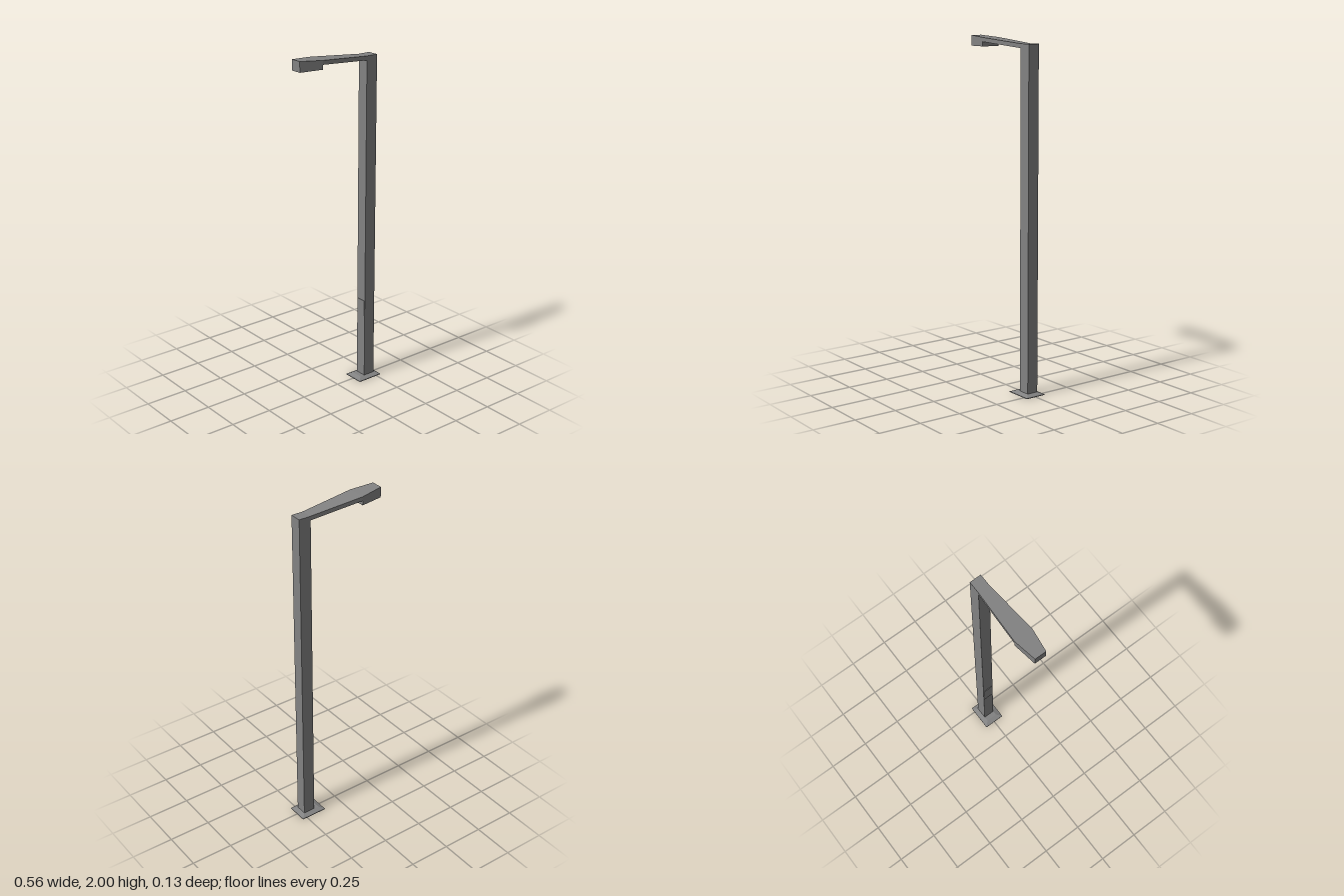
import * as THREE from 'three';

const material = new THREE.MeshStandardMaterial({ color: 0x828282, flatShading: true });

function addMesh(group, name, geometry) {
  const mesh = new THREE.Mesh(geometry, material);
  mesh.name = name;
  group.add(mesh);
}

// Box given by its lower and upper corners
function boxBetween([x0, y0, z0], [x1, y1, z1]) {
  return new THREE.BoxGeometry(x1 - x0, y1 - y0, z1 - z0)
    .translate((x0 + x1) / 2, (y0 + y1) / 2, (z0 + z1) / 2);
}

// Closed solid through rectangular sections [x, bottom, top, halfWidth] along +x
function loftAlongX(sections) {
  const positions = [];
  const rings = sections.map(([x, b, t, w]) => [[x, b, w], [x, b, -w], [x, t, -w], [x, t, w]]);
  const quad = (a, b, c, d) => [a, b, c, a, c, d].forEach((p) => positions.push(...p));
  for (let i = 0; i < rings.length - 1; i++) {
    const p = rings[i], q = rings[i + 1];
    for (let k = 0; k < 4; k++) {
      const n = (k + 1) % 4;
      quad(p[k], p[n], q[n], q[k]);
    }
  }
  const first = rings[0], last = rings[rings.length - 1];
  quad(first[3], first[2], first[1], first[0]);
  quad(last[0], last[1], last[2], last[3]);
  const geometry = new THREE.BufferGeometry();
  geometry.setAttribute('position', new THREE.Float32BufferAttribute(positions, 3));
  geometry.computeVertexNormals();
  return geometry;
}

export function createModel() {
  const group = new THREE.Group();
  group.name = 'streetLamp';

  // Base plate: a thin slab whose top is drawn in to a bevel
  addMesh(group, 'basePlate', boxBetween([0.12, 0, -0.063], [0.28, 0.004, 0.063]));
  const bevel = boxBetween([0.12, 0.004, -0.063], [0.28, 0.016, 0.063]);
  const pos = bevel.attributes.position;
  for (let i = 0; i < pos.count; i++) {
    if (pos.getY(i) < 0.01) continue;
    pos.setX(i, pos.getX(i) < 0.2 ? 0.149 : 0.25);
    pos.setZ(i, Math.sign(pos.getZ(i)) * 0.034);
  }
  bevel.computeVertexNormals();
  addMesh(group, 'baseBevel', bevel);

  // Square pole with a shallow service hatch on the lamp side
  addMesh(group, 'pole', boxBetween([0.178, 0.01, -0.034], [0.25, 1.964, 0.034]));
  addMesh(group, 'serviceHatch', boxBetween([0.175, 0.365, -0.03], [0.179, 0.503, 0.03]));

  // Tapered arm, widening and deepening by a step into the lamp head
  addMesh(group, 'armAndLampHead', loftAlongX([
    [-0.28, 1.94, 2.0, 0.034],
    [-0.143, 1.94, 1.99, 0.055],
    [-0.143, 1.966, 1.99, 0.055],
    [0.179, 1.94, 1.964, 0.034],
  ]));

  return group;
}
